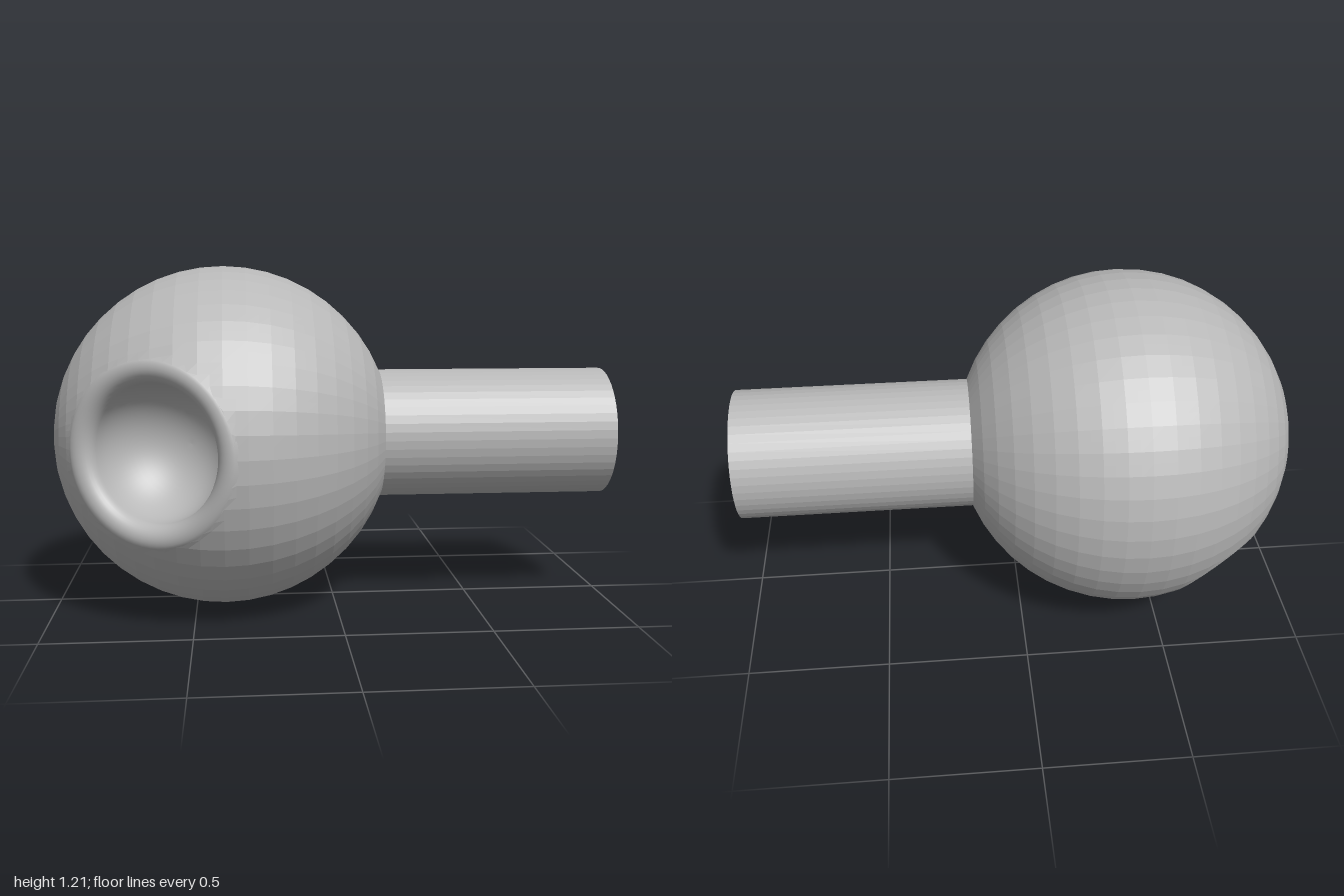
import * as THREE from 'three';

const R = 0.607; // ball radius
const CENTRE = new THREE.Vector3(-0.393, R, 0);
const STEP = Math.PI / 24; // facet size of the ball
const STEM_R = R * Math.sin(3 * STEP);

// Sockets: axis, bore radius and rounding of the rim
const SOCKETS = [
  { name: 'largeSocket', axis: [-0.454, 0, 0.891], bore: 0.232, fillet: 0.05 },
  { name: 'smallSocket', axis: [-0.54, -0.6, -0.59], bore: 0.187, fillet: 0 },
].map((s) => {
  const rim = (s.bore + s.fillet) / (R - s.fillet);
  return { ...s, axis: new THREE.Vector3(...s.axis).normalize(), angle: Math.asin(rim) };
});

function facetCorner(i, j) {
  const p = i * STEP, t = j * STEP;
  return new THREE.Vector3(Math.cos(p), Math.sin(p) * Math.cos(t), Math.sin(p) * Math.sin(t)).multiplyScalar(R);
}

// Point on the faceted ball, u and v in facets
function ballPoint(u, v) {
  const i = Math.floor(u), j = Math.floor(v);
  const a = facetCorner(i, j).lerp(facetCorner(i + 1, j), u - i);
  const b = facetCorner(i, j + 1).lerp(facetCorner(i + 1, j + 1), u - i);
  return a.lerp(b, v - j);
}

// Ball with round openings: triangles inside are dropped, edge points move to the rim
function ballGeometry() {
  const positions = [];
  const addTriangle = (corners) => {
    for (const { axis, angle } of SOCKETS) {
      const inside = corners.map((p) => p.angleTo(axis) < angle);
      if (inside.every(Boolean)) return;
      corners = corners.map((p, k) => {
        if (!inside[k]) return p;
        const side = p.clone().addScaledVector(axis, -p.dot(axis)).normalize();
        return side.multiplyScalar(R * Math.sin(angle)).addScaledVector(axis, R * Math.cos(angle));
      });
    }
    corners.forEach((p) => positions.push(p.x, p.y, p.z));
  };
  for (let u = 3; u < 24; u += 0.5) {
    for (let v = 0; v < 48; v += 0.5) {
      const a = ballPoint(u, v), b = ballPoint(u + 0.5, v);
      const c = ballPoint(u + 0.5, v + 0.5), d = ballPoint(u, v + 0.5);
      addTriangle([a, b, c]);
      if (u < 23.5) addTriangle([a, c, d]);
      else addTriangle([a.clone(), c.clone(), d]);
    }
  }
  const g = new THREE.BufferGeometry();
  g.setAttribute('position', new THREE.Float32BufferAttribute(positions, 3));
  g.computeVertexNormals();
  return g;
}

// Bowl with an optional rounded lip, turned around +y
function socketGeometry({ bore, fillet, angle }) {
  const points = [];
  const floor = (R - fillet) * Math.cos(angle); // height of the bowl centre
  if (fillet > 0) {
    const tuck = angle + 0.05;
    points.push(new THREE.Vector2(R * 0.992 * Math.sin(tuck), R * 0.992 * Math.cos(tuck)));
    for (let k = 0; k <= 10; k++) {
      const t = Math.PI / 2 - angle + (Math.PI / 2 + angle) * (k / 10);
      points.push(new THREE.Vector2(bore + fillet + fillet * Math.cos(t), floor + fillet * Math.sin(t)));
    }
  } else {
    points.push(new THREE.Vector2(bore, floor));
  }
  for (let k = 1; k <= 16; k++) {
    const t = (k / 16) * Math.PI / 2;
    points.push(new THREE.Vector2(k < 16 ? bore * Math.cos(t) : 0, floor - bore * Math.sin(t)));
  }
  return new THREE.LatheGeometry(points, 64);
}

export function createModel() {
  const group = new THREE.Group();
  group.name = 'ballJoint';
  const grey = new THREE.MeshStandardMaterial({ color: 0xb8b8b8 });
  grey.name = 'grey';
  const add = (name, geometry) => {
    const mesh = new THREE.Mesh(geometry, grey);
    mesh.name = name;
    group.add(mesh);
    return mesh;
  };

  // Faceted ball
  add('ball', ballGeometry()).position.copy(CENTRE);

  // Hollow sockets
  for (const s of SOCKETS) {
    const socket = add(s.name, socketGeometry(s));
    socket.position.copy(CENTRE);
    socket.quaternion.setFromUnitVectors(new THREE.Vector3(0, 1, 0), s.axis);
  }

  // Round stem from the ball to the side
  const start = CENTRE.x + R * Math.cos(3 * STEP);
  const stemGeometry = new THREE.CylinderGeometry(STEM_R, STEM_R, 1 - start, 48).toNonIndexed();
  stemGeometry.computeVertexNormals();
  const stem = add('stem', stemGeometry);
  stem.rotation.z = -Math.PI / 2;
  stem.position.set((1 + start) / 2, R, 0);

  return group;
}
